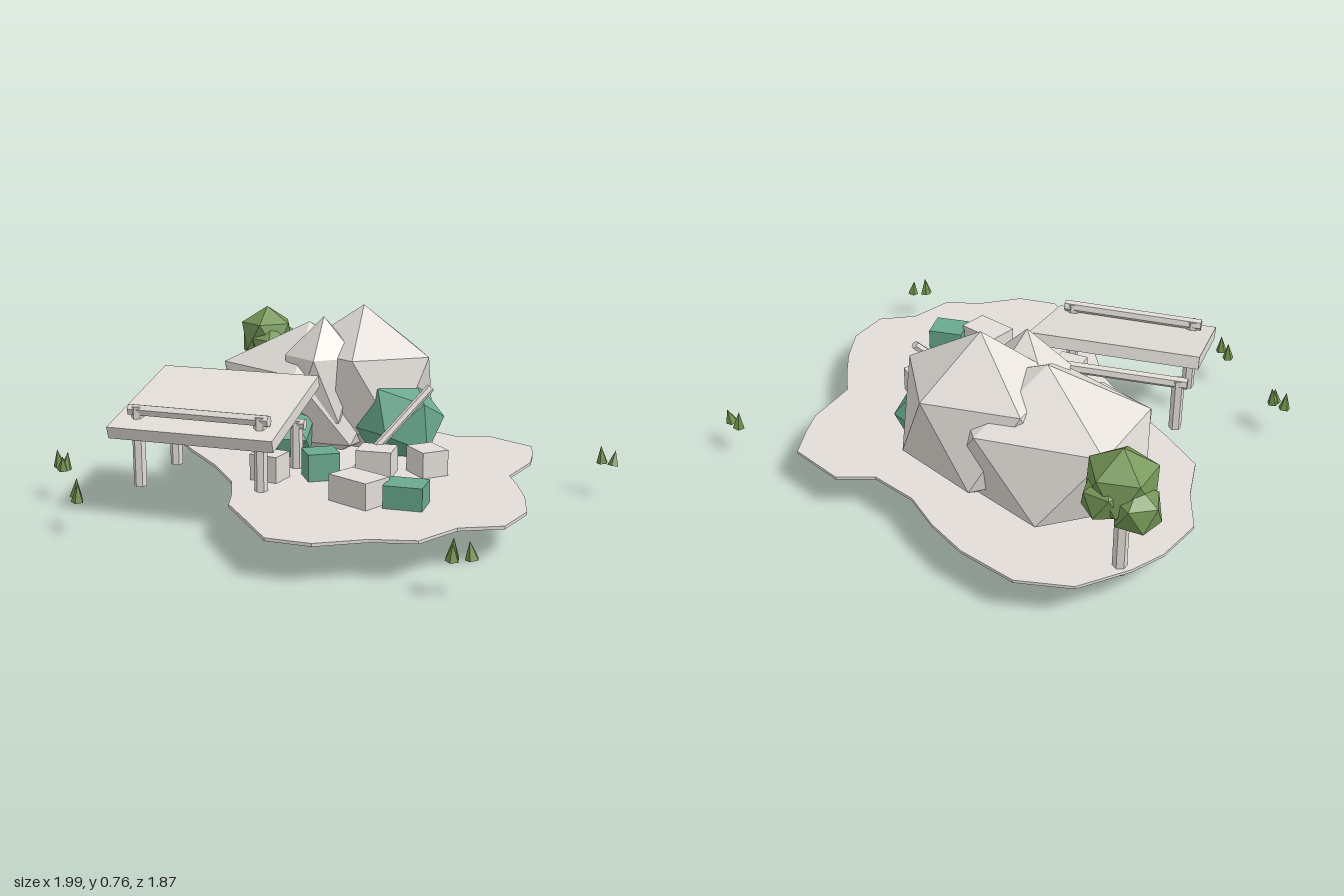
import * as THREE from 'three';

const mat = (name, color) => {
  const m = new THREE.MeshStandardMaterial({ color });
  m.name = name;
  m.flatShading = true;
  return m;
};

export function createModel() {
  const group = new THREE.Group();
  const stone = mat('pale warm grey', 0xe2ddd7);
  const teal = mat('teal ore', 0x6aa990);
  const leaf = mat('leaf green', 0x749656);
  const grass = mat('grass green', 0x6e8f4b);

  const add = (name, geometry, material, pos = [0, 0, 0], parent = group) => {
    const mesh = new THREE.Mesh(geometry, material);
    mesh.name = name;
    mesh.position.set(...pos);
    parent.add(mesh);
    return mesh;
  };

  // Icosahedron standing on a vertex, with an upper ring vertex on +x
  const poleRock = (name, pos, [rx, ry, rz], material, turn = 0) => {
    const g = new THREE.IcosahedronGeometry(1, 0);
    g.rotateX(-Math.atan((1 + Math.sqrt(5)) / 2));
    g.rotateY(Math.PI / 2 + turn);
    g.scale(rx, ry, rz);
    return add(name, g, material, pos);
  };

  // Six-sided bar between two points
  const bar = (name, a, b, r, parent = group) => {
    const p = new THREE.Vector3(...a), q = new THREE.Vector3(...b);
    const d = q.clone().sub(p);
    const mesh = add(name, new THREE.CylinderGeometry(r, r, d.length(), 6), stone,
      p.clone().add(q).multiplyScalar(0.5).toArray(), parent);
    mesh.quaternion.setFromUnitVectors(new THREE.Vector3(0, 1, 0), d.normalize());
    return mesh;
  };

  // Ground: thin slab with an irregular outline (x, z)
  const outline = [
    [-.55, -.94], [-.31, -.90], [-.14, -.83], [.01, -.74], [.21, -.70], [.34, -.78], [.58, -.72],
    [.64, -.59], [.68, -.48], [.69, -.25], [.77, -.15], [.86, -.02], [.94, .14], [.94, .33],
    [.81, .44], [.76, .63], [.61, .71], [.47, .85], [.30, .89], [.13, .77], [-.03, .66],
    [-.10, .55], [-.20, .42], [-.40, .27], [-.64, .13], [-.82, .01], [-.88, -.18], [-.97, -.35],
    [-.94, -.55], [-.88, -.68], [-.75, -.86],
  ];
  const shape = new THREE.Shape(outline.map(([x, z]) => new THREE.Vector2(x, -z)));
  const slab = new THREE.ExtrudeGeometry(shape, { depth: 0.012, bevelEnabled: false });
  slab.rotateX(-Math.PI / 2);
  add('ground', slab, stone, [0, 0.14, 0]);

  // Grey boulders
  poleRock('tallBoulder', [-.11, .395, -.43], [.365, .365, .306], stone);
  poleRock('wideBoulder', [-.365, .335, -.38], [.464, .335, .363], stone);
  poleRock('middleBoulder', [-.212, .42, -.265], [.19, .30, .19], stone);
  poleRock('lowBoulder', [-.457, .30, -.175], [.255, .17, .255], stone);

  // Teal boulders
  const sideOre = add('sideOreBoulder', new THREE.IcosahedronGeometry(.2, 0), teal, [.118, .28, -.35]);
  sideOre.rotation.set(0, 1.25, .1);
  const frontOre = add('frontOreBoulder', new THREE.IcosahedronGeometry(.138, 0), teal, [-.283, .232, -.07]);
  frontOre.rotation.set(.5, .3, .1);

  // Cut blocks: x, z, width, depth, top, turn, material
  [
    [.06, .175, .13, .12, .262, .83, teal],
    [.22, .005, .145, .13, .258, .3, stone],
    [.39, -.107, .14, .115, .258, -.56, stone],
    [.36, .37, .19, .13, .255, -.2, stone],
    [.53, .31, .15, .13, .24, .28, teal],
    [-.10, .30, .12, .11, .258, .1, stone],
  ].forEach(([x, z, w, d, top, turn, m]) => {
    const h = top - 0.138;
    add('cutBlock', new THREE.BoxGeometry(w, h, d), m, [x, 0.138 + h / 2, z]).rotation.y = turn;
  });

  // Leaning pole
  bar('leaningPole', [.125, .14, .045], [.33, .475, -.237], .018);

  // Shelter: tilted roof on two post-and-beam frames
  const shelter = new THREE.Group();
  shelter.name = 'shelter';
  group.add(shelter);
  const roof = add('roof', new THREE.BoxGeometry(.695, .05, .545), stone, [-.332, .426, .345], shelter);
  roof.rotation.set(.275, .247, 0, 'YXZ');
  [
    { ends: [[-.54, .575], [-.03, .455]], top: .43 },
    { ends: [[-.625, .25], [-.10, .112]], top: .337 },
  ].forEach(({ ends: [[x0, z0], [x1, z1]], top }) => {
    bar('post', [x0, .12, z0], [x0, top + .015, z0], .026, shelter);
    bar('post', [x1, .12, z1], [x1, top + .015, z1], .026, shelter);
    const ox = (x1 - x0) * .07, oz = (z1 - z0) * .07;
    bar('beam', [x0 - ox, top, z0 - oz], [x1 + ox, top, z1 + oz], .024, shelter);
  });

  // Tree
  bar('treeTrunk', [-.83, .12, -.68], [-.83, .5, -.68], .027);
  [
    [-.83, .522, -.70, .14, 0],
    [-.91, .472, -.745, .095, .4],
    [-.768, .472, -.64, .1, .2],
    [-.80, .49, -.76, .092, .9],
  ].forEach(([x, y, z, r, turn]) => poleRock('treeFoliage', [x, y, z], [r, r, r], leaf, turn));

  // Grass tufts: x, z, height, tilt
  [
    [.91, -.69, .075, .1], [.97, -.68, .065, -.15],
    [.92, .685, .078, .1], [.97, .655, .065, -.2], [.925, .70, .06, -.1],
    [-.915, .605, .075, -.12], [-.975, .595, .075, .08], [-.92, .625, .06, .15],
    [-.61, .86, .075, .1], [-.56, .905, .075, -.12],
  ].forEach(([x, z, h, tilt], i) => {
    add('grassBlade', new THREE.ConeGeometry(.025, h, 5), grass, [x, .135 + h / 2, z])
      .rotation.set(tilt * .5, i * 1.3, tilt);
  });

  return group;
}
